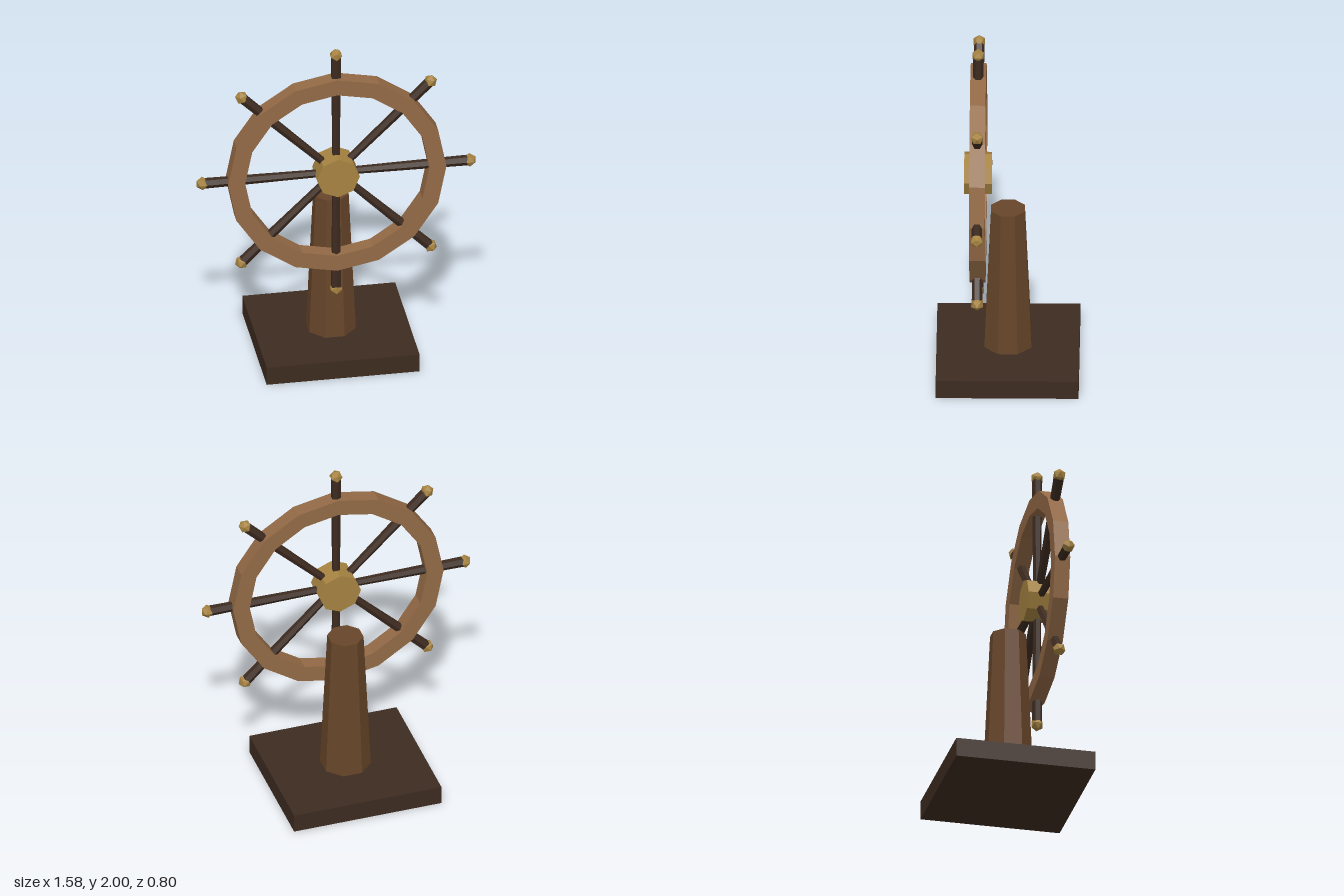
import * as THREE from 'three';

const material = (name, color) => {
  const m = new THREE.MeshStandardMaterial({ color, flatShading: true });
  m.name = name;
  return m;
};

export function createModel() {
  const darkWood = material('dark wood', 0x3d2b20);
  const postWood = material('post wood', 0x674529);
  const rimWood = material('rim wood', 0x936a46);
  const brass = material('brass', 0xa68341);

  const model = new THREE.Group();
  model.name = 'shipWheel';
  const add = (parent, name, geometry, mat, x = 0, y = 0, z = 0) => {
    const mesh = new THREE.Mesh(geometry, mat);
    mesh.name = name;
    mesh.position.set(x, y, z);
    parent.add(mesh);
    return mesh;
  };

  // Square foot and tapered octagonal post
  const cx = -0.004;
  add(model, 'base', new THREE.BoxGeometry(0.868, 0.11, 0.8), darkWood, cx, 0.055, 0);
  const postGeo = new THREE.CylinderGeometry(0.102, 0.143, 0.87, 8).rotateY(Math.PI / 8);
  add(model, 'post', postGeo, postWood, cx, 0.545, 0);

  // Wheel, standing upright in front of the post
  const wheel = new THREE.Group();
  wheel.name = 'wheel';
  wheel.position.set(cx, 1.208, 0.167);
  model.add(wheel);

  // Sixteen-sided rim with a rectangular section
  const ring = (r) => Array.from({ length: 16 }, (_, i) => {
    const a = (i / 16) * Math.PI * 2;
    return new THREE.Vector2(Math.cos(a) * r, Math.sin(a) * r);
  });
  const rimShape = new THREE.Shape(ring(0.62));
  rimShape.holes.push(new THREE.Path(ring(0.523)));
  const rimGeo = new THREE.ExtrudeGeometry(rimShape, { depth: 0.088, bevelEnabled: false });
  add(wheel, 'rim', rimGeo.translate(0, 0, -0.044), rimWood);

  // Octagonal hub
  add(wheel, 'hub', new THREE.CylinderGeometry(0.122, 0.122, 0.155, 8).rotateX(Math.PI / 2), brass);

  // Eight spokes running out into handles, each with a faceted knob
  const spokeGeo = new THREE.CylinderGeometry(0.03, 0.021, 0.745, 6).translate(0, 0.3725, 0);
  const knobGeo = new THREE.IcosahedronGeometry(0.038, 0);
  for (let i = 0; i < 8; i++) {
    const arm = new THREE.Group();
    arm.name = 'arm' + (i + 1);
    arm.rotation.z = (i * Math.PI) / 4;
    add(arm, 'spoke', spokeGeo, darkWood);
    add(arm, 'knob', knobGeo, brass, 0, 0.759, 0);
    wheel.add(arm);
  }
  return model;
}
